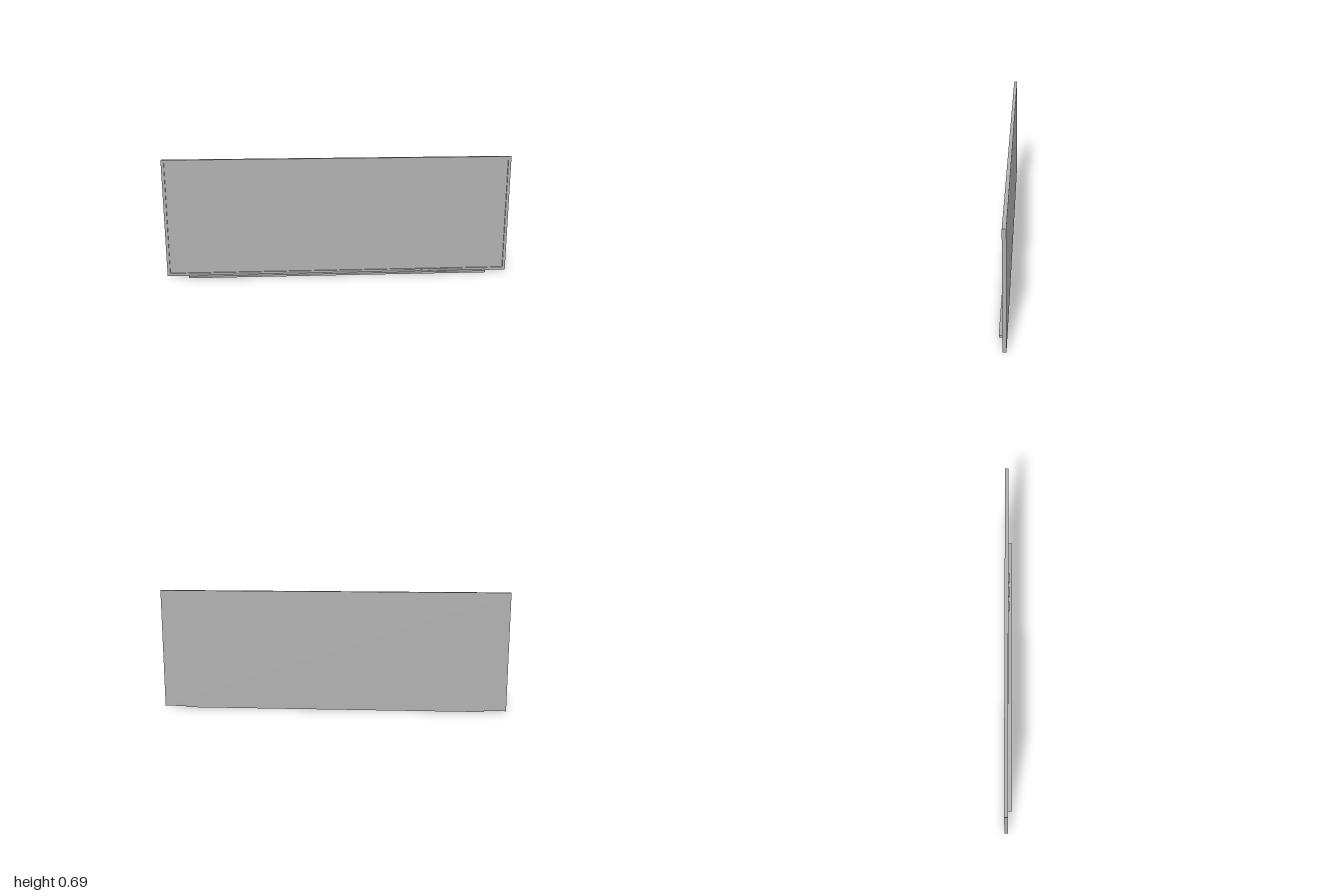
import * as THREE from 'three';

export function createModel() {
  const group = new THREE.Group();
  const grey = new THREE.MeshStandardMaterial({ color: 0xb0b0b0 });
  grey.name = 'grey';

  // Box given by its lower and upper corners
  const box = (name, x0, x1, y0, y1, z0, z1) => {
    const mesh = new THREE.Mesh(new THREE.BoxGeometry(x1 - x0, y1 - y0, z1 - z0), grey);
    mesh.position.set((x0 + x1) / 2, (y0 + y1) / 2, (z0 + z1) / 2);
    mesh.name = name;
    group.add(mesh);
  };

  const bottom = 0.007, top = 0.695, back = -0.021, front = -0.001, rim = 0.016;

  // Raised frame with a rectangular opening
  const outline = new THREE.Shape([
    new THREE.Vector2(-1, bottom), new THREE.Vector2(1, bottom),
    new THREE.Vector2(1, top), new THREE.Vector2(-1, top),
  ]);
  outline.holes.push(new THREE.Path([
    new THREE.Vector2(-1 + rim, bottom + rim), new THREE.Vector2(-1 + rim, top - rim),
    new THREE.Vector2(1 - rim, top - rim), new THREE.Vector2(1 - rim, bottom + rim),
  ]));
  const frame = new THREE.Mesh(
    new THREE.ExtrudeGeometry(outline, { depth: front - back, bevelEnabled: false }), grey);
  frame.position.z = back;
  frame.name = 'frame';
  group.add(frame);

  // Writing surface set back inside the frame
  box('writingSurface', -1 + rim, 1 - rim, bottom + rim, top - rim, back, -0.009);

  // Ledge below the board, running under it to the back
  box('trayLedge', -0.875, 0.875, 0, 0.011, front, 0.022);
  box('trayBase', -0.875, 0.875, 0, bottom, back, front);

  // Three pens lying on the ledge
  for (const x of [0.423, 0.523, 0.622]) {
    box('pen', x - 0.033, x + 0.033, 0.011, 0.021, front, 0.006);
  }
  return group;
}
